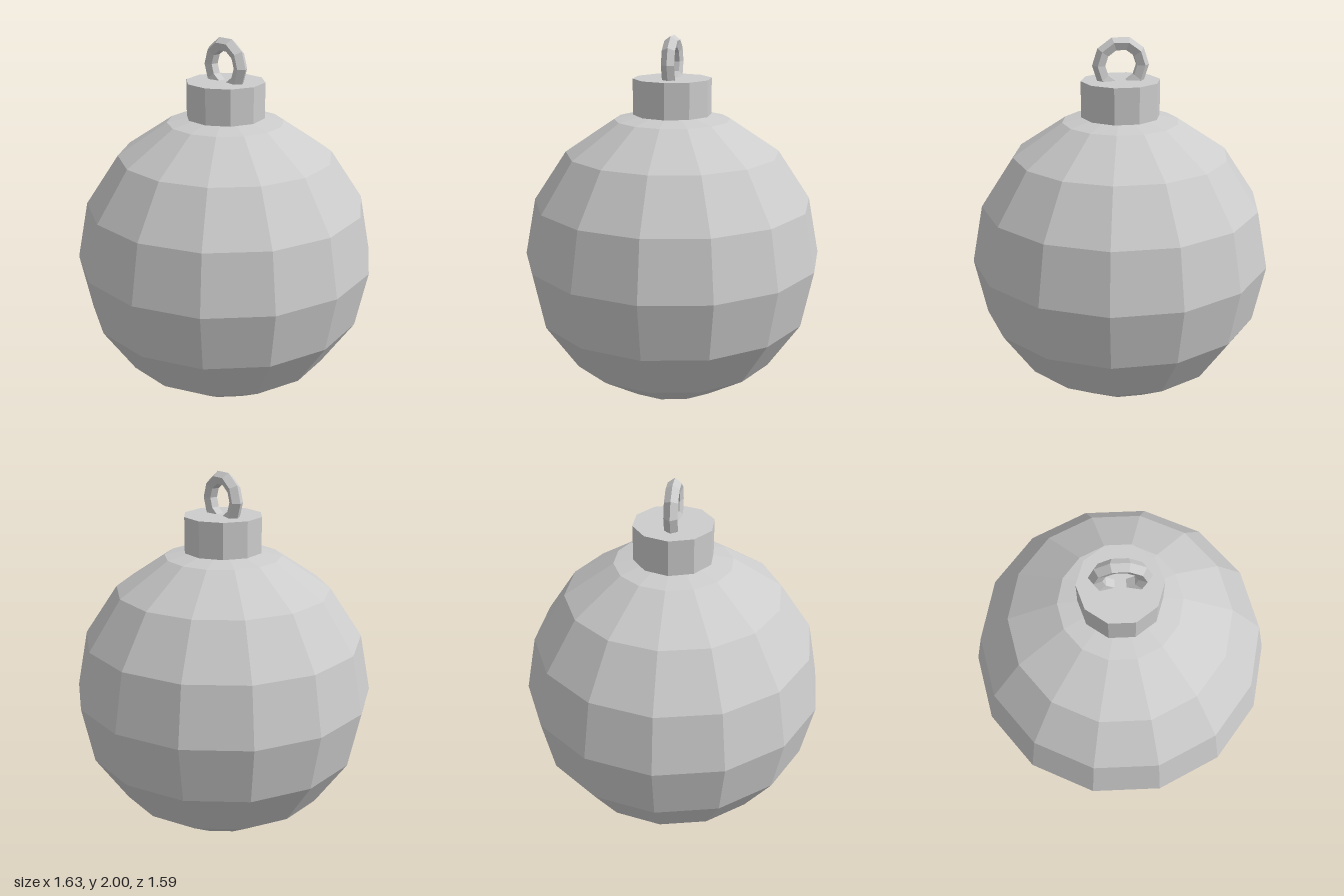
import * as THREE from 'three';

export function createModel() {
  const group = new THREE.Group();
  const grey = new THREE.MeshStandardMaterial({ color: 0xcccccc, flatShading: true });
  grey.name = 'light grey';

  const add = (name, geometry, y) => {
    const mesh = new THREE.Mesh(geometry, grey);
    mesh.name = name;
    mesh.position.y = y;
    group.add(mesh);
    return mesh;
  };

  // Faceted ball standing on its lower pole
  const radius = 0.813;
  add('bauble', new THREE.SphereGeometry(radius, 14, 8), radius);

  // Ten-sided cap with corners on the x axis
  const cap = add('cap', new THREE.CylinderGeometry(0.21, 0.21, 0.19, 10), 1.685);
  cap.rotation.y = Math.PI / 10;

  // Hanging loop, sunk into the cap
  add('hangingLoop', new THREE.TorusGeometry(0.113, 0.0365, 5, 10), 1.858);

  return group;
}
